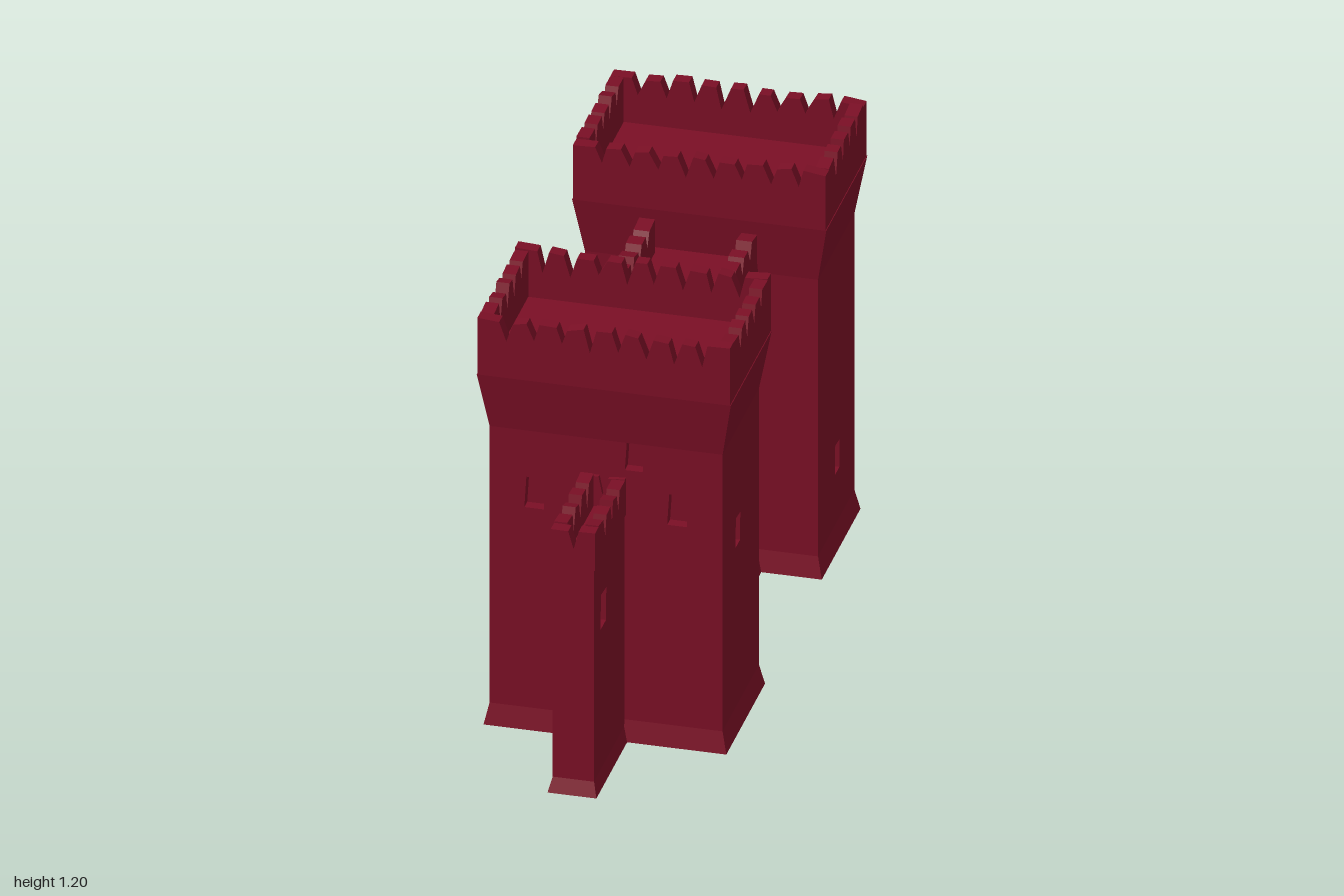
import * as THREE from 'three';

const stone = new THREE.MeshStandardMaterial({ color: 0x7a0f25 });
stone.name = 'dark red stone';

// Small seeded generator for the uneven battlements
let seed = 7;
const rnd = () => (seed = (seed * 16807) % 2147483647) / 2147483647;
const jit = (a) => (rnd() - 0.5) * 2 * a;

function add(group, name, geometry, x = 0, y = 0, z = 0) {
  const mesh = new THREE.Mesh(geometry, stone);
  mesh.name = name;
  mesh.position.set(x, y, z);
  group.add(mesh);
  return mesh;
}

// Box from y0 to y1 whose top and bottom half-sizes differ
function taper(bx, bz, tx, tz, y0, y1) {
  const g = new THREE.BoxGeometry(2, 1, 2);
  const p = g.attributes.position;
  for (let i = 0; i < p.count; i++) {
    const up = p.getY(i) > 0;
    p.setXYZ(i, p.getX(i) * (up ? tx : bx), up ? y1 : y0, p.getZ(i) * (up ? tz : bz));
  }
  g.computeVertexNormals();
  return g;
}

const polygon = (pts) => new THREE.Shape(pts.map(([x, y]) => new THREE.Vector2(x, y)));

// Slightly crooked window opening
function windowHole([x, y, w, h]) {
  const a = w / 2, b = h / 2;
  return polygon([[x - a, y - b], [x - a * 0.8, y + b], [x + a, y + b * 0.9], [x + a * 0.9, y - b]]);
}

const extrude = (shape, depth) =>
  new THREE.ExtrudeGeometry(shape, { depth, bevelEnabled: false, curveSegments: 10 });

// Wall slab with windows; its outer face lies at local z = 0
function wallPanel(hw, y0, y1, windows, t) {
  const s = polygon([[-hw, y0], [hw, y0], [hw, y1], [-hw, y1]]);
  s.holes = windows.map(windowHole);
  return extrude(s, t).translate(0, 0, -t);
}

// Parapet slab with jagged teeth along the top
function toothPanel(hw, y0, valley, peak, t, pitch) {
  const n = Math.max(2, Math.round((2 * hw) / pitch));
  const step = (2 * hw) / n;
  const pts = [[-hw, y0], [hw, y0]];
  for (let i = n - 1; i >= 0; i--) {
    const c = -hw + (i + 0.5) * step;
    const right = i === n - 1 ? hw : c + step * (0.26 + jit(0.06));
    const left = i === 0 ? -hw : c - step * (0.26 + jit(0.06));
    pts.push([right, peak - rnd() * 0.012], [left, peak - rnd() * 0.012]);
    if (i > 0) pts.push([c - step * (0.47 + jit(0.03)), valley + jit(0.01)]);
  }
  return extrude(polygon(pts), t).translate(0, 0, -t);
}

// Places four (or the chosen) panels round a rectangle: front, left, back, right
function ring(group, name, hx, hz, t, make, sides = [0, 1, 2, 3]) {
  for (const k of sides) {
    const across = k % 2 === 0;
    const m = add(group, name, make(across ? hx : hz - t, k));
    m.rotation.y = (k * Math.PI) / 2;
    m.position.set(Math.sin(m.rotation.y) * hx, 0, Math.cos(m.rotation.y) * hz);
  }
}

// Main tower with flared crown
function tower(zSign) {
  const g = new THREE.Group();
  g.name = zSign > 0 ? 'frontTower' : 'backTower';
  const hx = 0.31, hz = 0.186, t = 0.03;
  const outer = [[-0.19, 0.69, 0.055, 0.09], [0.19, 0.69, 0.055, 0.09], [0.075, 0.83, 0.05, 0.08]];
  const windows = [
    zSign > 0 ? outer : [],
    [[zSign > 0 ? -0.03 : 0.01, zSign > 0 ? 0.57 : 0.25, 0.05, 0.085]],
    zSign > 0 ? [] : outer,
    [[0.02, zSign > 0 ? 0.3 : 0.57, 0.05, 0.085]],
  ];
  add(g, 'towerCore', taper(hx - t, hz - t, hx - t, hz - t, 0, 0.9));
  ring(g, 'towerWall', hx, hz, t, (w, k) => wallPanel(w, 0, 0.88, windows[k], t));
  add(g, 'towerFoot', taper(0.323, 0.198, hx, hz, 0, 0.06));
  add(g, 'towerFlare', taper(hx, hz, 0.338, 0.21, 0.87, 1.03));
  add(g, 'towerRoof', taper(0.31, 0.18, 0.31, 0.18, 1.02, 1.06));
  ring(g, 'towerBattlement', 0.336, 0.21, 0.035, (w) => toothPanel(w, 1.03, 1.14, 1.2, 0.035, 0.072));
  g.position.z = 0.488 * zSign;
  return g;
}

// Narrow curtain wall beyond a tower
function wing(zSign) {
  const g = new THREE.Group();
  g.name = zSign > 0 ? 'frontWing' : 'backWing';
  const hx = 0.055, hz = 0.165, t = 0.022;
  add(g, 'wingCore', taper(hx - t, hz - t, hx - t, hz - t, 0, 0.68));
  ring(g, 'wingWall', hx, hz, t, (w, k) =>
    wallPanel(w, 0, 0.67, k % 2 ? [[(k === 1 ? -1 : 1) * zSign * 0.07, 0.5, 0.06, 0.1]] : [], t));
  add(g, 'wingFoot', taper(0.065, 0.18, hx, hz, 0, 0.04));
  ring(g, 'wingBattlement', 0.059, 0.17, 0.035, (w) => toothPanel(w, 0.66, 0.715, 0.775, 0.035, 0.065));
  g.position.set(zSign > 0 ? -0.006 : 0, 0, 0.82 * zSign);
  return g;
}

// Gatehouse between the towers, with an arched gate on both faces
function gatehouse() {
  const g = new THREE.Group();
  g.name = 'gatehouse';
  const hx = 0.15, hz = 0.32, t = 0.06;
  add(g, 'gateCore', taper(hx - t, hz, hx - t, hz, 0, 0.9));
  const faces = [1, 3];
  ring(g, 'gateWall', hx, hz, t, () => {
    const s = new THREE.Shape();
    s.moveTo(-hz, 0).lineTo(-0.19, 0).lineTo(-0.19, 0.49);
    s.absellipse(0, 0.49, 0.19, 0.18, Math.PI, 0, true);
    s.lineTo(0.19, 0).lineTo(hz, 0).lineTo(hz, 0.9).lineTo(-hz, 0.9);
    return extrude(s, t).translate(0, 0, -t);
  }, faces);
  add(g, 'gateRoof', taper(0.13, hz, 0.13, hz, 0.87, 0.91));
  ring(g, 'gateBattlement', 0.157, 0.31, 0.042, (w) => toothPanel(w, 0.88, 0.955, 1.01, 0.042, 0.075), faces);
  for (const side of [1, -1]) {
    // Two door leaves with a slit between them
    for (const leaf of [1, -1]) {
      add(g, 'doorLeaf', new THREE.BoxGeometry(0.03, 0.53, 0.182), side * 0.115, 0.265, leaf * 0.096);
      add(g, 'gateFoot', taper(0.012, 0.06, 0.002, 0.06, 0, 0.04), side * 0.15, 0, leaf * 0.25);
    }
    // Portcullis spikes hanging in the arch
    for (let i = 0; i < 9; i++) {
      const z = -0.16 + i * 0.04;
      const top = 0.49 + 0.18 * Math.sqrt(1 - (z / 0.19) ** 2);
      const low = 0.53 + rnd() * 0.03;
      const len = Math.max(top - low, 0.05);
      const spike = add(g, 'portcullisSpike', new THREE.ConeGeometry(0.022, len, 4), side * 0.13, top - len / 2, z);
      spike.rotation.x = Math.PI + jit(0.15);
    }
    add(g, 'portcullisBar', new THREE.BoxGeometry(0.015, 0.018, 0.34), side * 0.125, 0.6, 0);
  }
  return g;
}

export function createModel() {
  seed = 7;
  const model = new THREE.Group();
  model.name = 'castleGate';
  model.add(gatehouse());
  for (const s of [1, -1]) model.add(tower(s), wing(s));
  return model;
}
